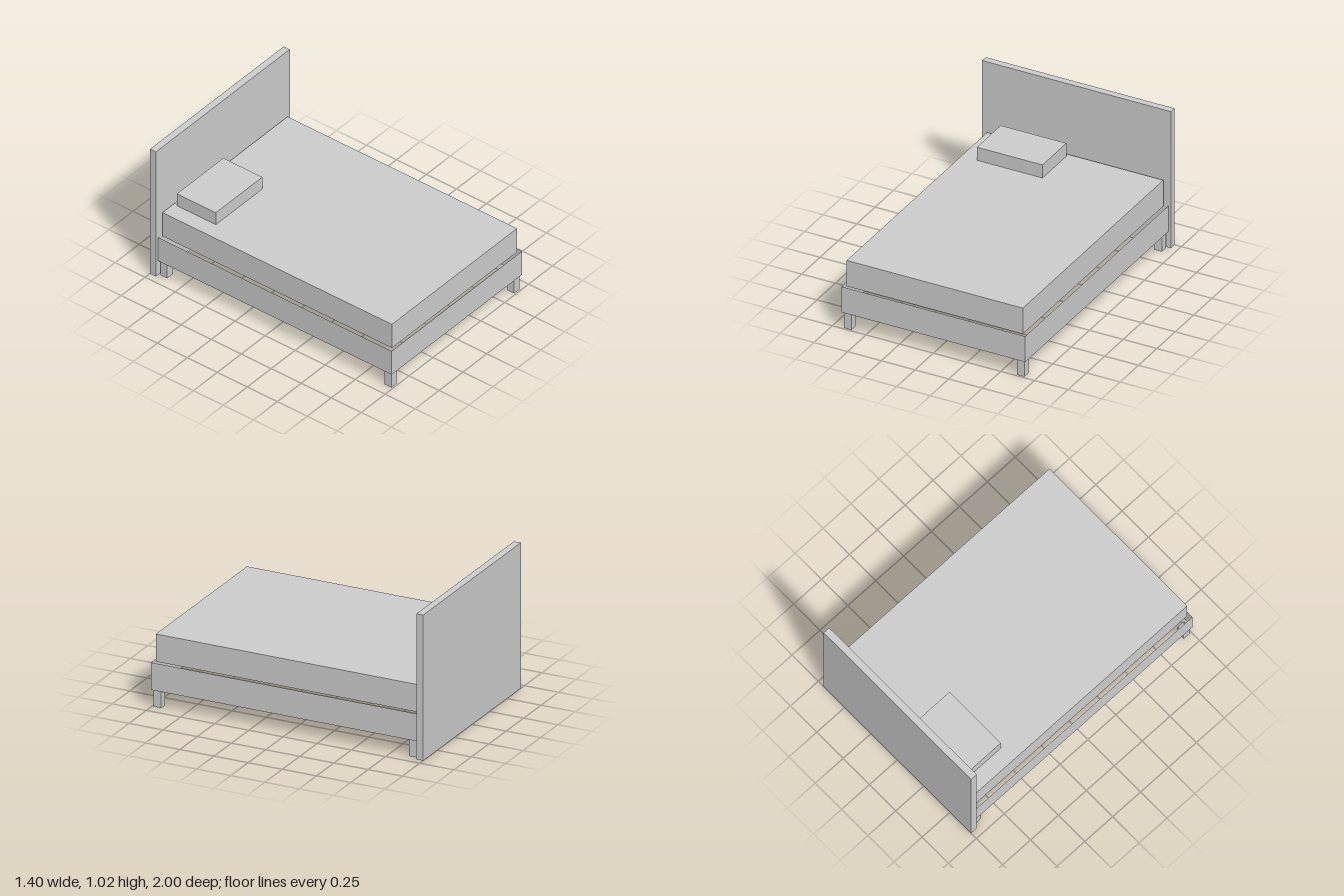
import * as THREE from 'three';
import { mergeGeometries } from 'three/addons/utils/BufferGeometryUtils.js';

// Rectangular sleeve of four upright sheets, open below, with an optional top sheet
function shellGeometry(w, h, d, hasTop) {
  const sheets = [];
  for (const side of [0, 1, 2, 3]) {
    const alongX = side % 2 === 0;
    const sheet = new THREE.PlaneGeometry(alongX ? w : d, h);
    sheet.translate(0, 0, (alongX ? d : w) / 2);
    sheet.rotateY((side * Math.PI) / 2);
    sheets.push(sheet);
  }
  if (hasTop) sheets.push(new THREE.PlaneGeometry(w, d).rotateX(-Math.PI / 2).translate(0, h / 2, 0));
  return mergeGeometries(sheets);
}

export function createModel() {
  const bed = new THREE.Group();
  bed.name = 'bed';

  const grey = new THREE.MeshStandardMaterial({ color: 0xcccccc, side: THREE.DoubleSide });
  grey.name = 'light grey';

  // Places a part by its min and max corners; kind is 'solid', 'cover' or 'sleeve'
  function add(name, kind, [x0, y0, z0], [x1, y1, z1]) {
    const size = [x1 - x0, y1 - y0, z1 - z0];
    const geometry = kind === 'solid'
      ? new THREE.BoxGeometry(...size)
      : shellGeometry(...size, kind === 'cover');
    const mesh = new THREE.Mesh(geometry, grey);
    mesh.name = name;
    mesh.position.set((x0 + x1) / 2, (y0 + y1) / 2, (z0 + z1) / 2);
    bed.add(mesh);
  }

  add('headboard', 'solid', [-0.7, 0, -1], [0.7, 1.025, -0.95]);

  // Mattress and pillow are hollow, open underneath
  add('mattress', 'cover', [-0.654, 0.313, -0.932], [0.654, 0.507, 0.98]);
  add('pillow', 'cover', [-0.538, 0.507, -0.905], [-0.051, 0.605, -0.58]);

  // Thin bed rails around the open underside
  add('bedRails', 'sleeve', [-0.682, 0.12, -0.948], [0.682, 0.313, 1]);

  // Hollow square legs
  for (const [end, z] of [['front', 0.96], ['back', -0.909]]) {
    for (const [side, x] of [['Left', 0.642], ['Right', -0.642]]) {
      add(`${end}${side}Leg`, 'sleeve', [x - 0.028, 0, z - 0.028], [x + 0.028, 0.12, z + 0.028]);
    }
  }

  return bed;
}
